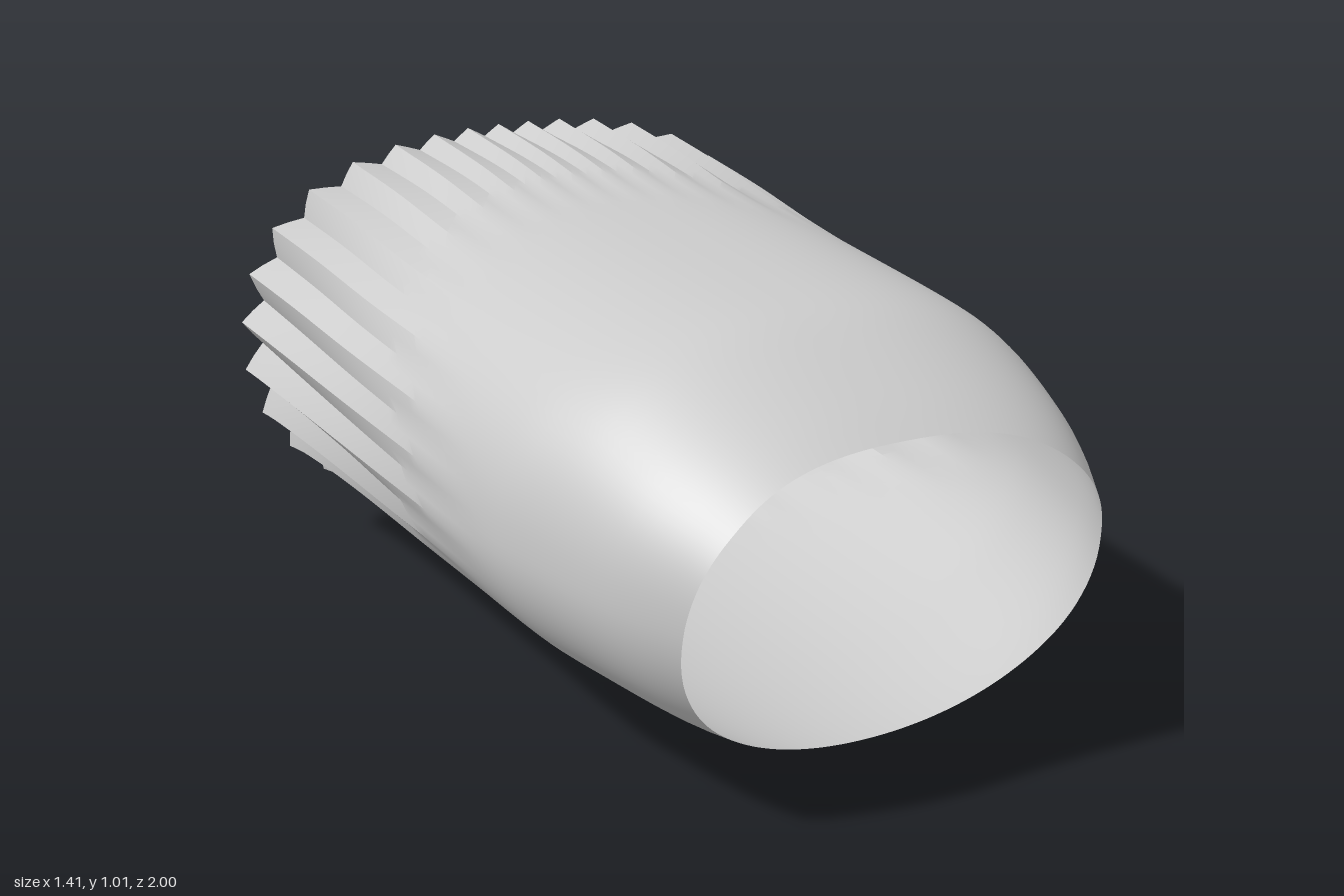
import * as THREE from 'three';
import { toCreasedNormals } from 'three/addons/utils/BufferGeometryUtils.js';

const { lerp, clamp } = THREE.MathUtils;

// Smooth curve through [position, value] points, positions ascending
function profile(points) {
  const last = points.length - 1;
  const slope = (i) => {
    const a = points[Math.max(i - 1, 0)], b = points[Math.min(i + 1, last)];
    return (b[1] - a[1]) / (b[0] - a[0]);
  };
  return (x) => {
    x = clamp(x, points[0][0], points[last][0]);
    let i = 0;
    while (i < last - 1 && x > points[i + 1][0]) i++;
    const [x0, y0] = points[i], [x1, y1] = points[i + 1];
    const h = x1 - x0, t = (x - x0) / h, t2 = t * t, t3 = t2 * t;
    return y0 * (2 * t3 - 3 * t2 + 1) + y1 * (3 * t2 - 2 * t3)
      + h * (slope(i) * (t3 - 2 * t2 + t) + slope(i + 1) * (t3 - t2));
  };
}

// Silhouettes along z
const halfWidth = profile([[-1, 0.685], [-0.88, 0.68], [-0.4, 0.665], [0, 0.65], [0.45, 0.627],
  [0.6, 0.597], [0.8, 0.545], [0.9, 0.505], [0.98, 0.465], [1, 0.455]]);
const topY = profile([[-0.9, 1.0], [-0.6, 0.99], [-0.3, 0.967], [0, 0.957], [0.45, 0.943], [0.6, 0.932],
  [0.7, 0.905], [0.9, 0.828], [0.98, 0.79], [1, 0.78]]);
const bottomY = profile([[-1, 0.018], [-0.92, 0.045], [-0.8, 0.072], [-0.5, 0.092], [0, 0.09],
  [0.6, 0.1], [0.86, 0.11], [1, 0.14]]);

// Curved rims: z as a function of height in the section (-1 bottom, 1 top)
const frontRim = profile([[-1, 0.86], [-0.75, 0.893], [-0.45, 0.932], [0, 0.973], [0.6, 1.0], [1, 0.98]]);
const backRim = profile([[-1, -1], [-0.83, -0.965], [-0.65, -0.93], [-0.5, -0.905], [-0.25, -0.885], [1, -0.88]]);

const PLEATS = 35, AROUND = PLEATS * 4, ROWS = 44;
const zigzag = [1, 0, -1, 0];

function shellPoint(i, t) {
  // Pleats are wider on the sides than on top and underneath
  const u = (i / AROUND) * Math.PI * 2;
  const angle = u + 0.18 * Math.sin(2 * u);
  const c = Math.cos(angle), s = Math.sin(angle);

  // Section: squarish above, elliptical below
  const n = s > 0 ? 2.4 : 2.05;
  const r = (Math.abs(c) ** n + Math.abs(s) ** n) ** (-1 / n);
  const z = lerp(frontRim(s * r), backRim(s * r), t);
  const middle = lerp(0.54, 0.5, (z + 1) / 2);
  const reach = s > 0 ? topY(z) - middle : middle - bottomY(z);

  // Pleats deepen towards the back
  const start = lerp(-0.2, 0.4, c * c);
  const fade = clamp((start - z) / (start + 0.9), 0, 1) ** 1.2;
  const pleat = zigzag[i % 4] * fade * lerp(0.026, 0.013, s ** 4);
  return [c * (halfWidth(z) * r + pleat), middle + s * (reach * r + pleat), z];
}

export function createModel() {
  const group = new THREE.Group();
  group.name = 'pleatedSleeve';

  const positions = [], index = [];
  for (let j = 0; j <= ROWS; j++) {
    for (let i = 0; i < AROUND; i++) {
      positions.push(...shellPoint(i, j / ROWS));
      if (j === ROWS) continue;
      const next = (i + 1) % AROUND;
      const a = j * AROUND + i, b = j * AROUND + next;
      index.push(a, a + AROUND, b, b, a + AROUND, b + AROUND);
    }
  }
  const geometry = new THREE.BufferGeometry();
  geometry.setAttribute('position', new THREE.Float32BufferAttribute(positions, 3));
  geometry.setIndex(index);

  // Open tube, smooth at the front with sharp pleats at the back
  const material = new THREE.MeshStandardMaterial({ color: 0xcccccc, side: THREE.DoubleSide });
  const shell = new THREE.Mesh(toCreasedNormals(geometry, 0.4), material);
  shell.name = 'sleeveShell';
  group.add(shell);
  return group;
}
